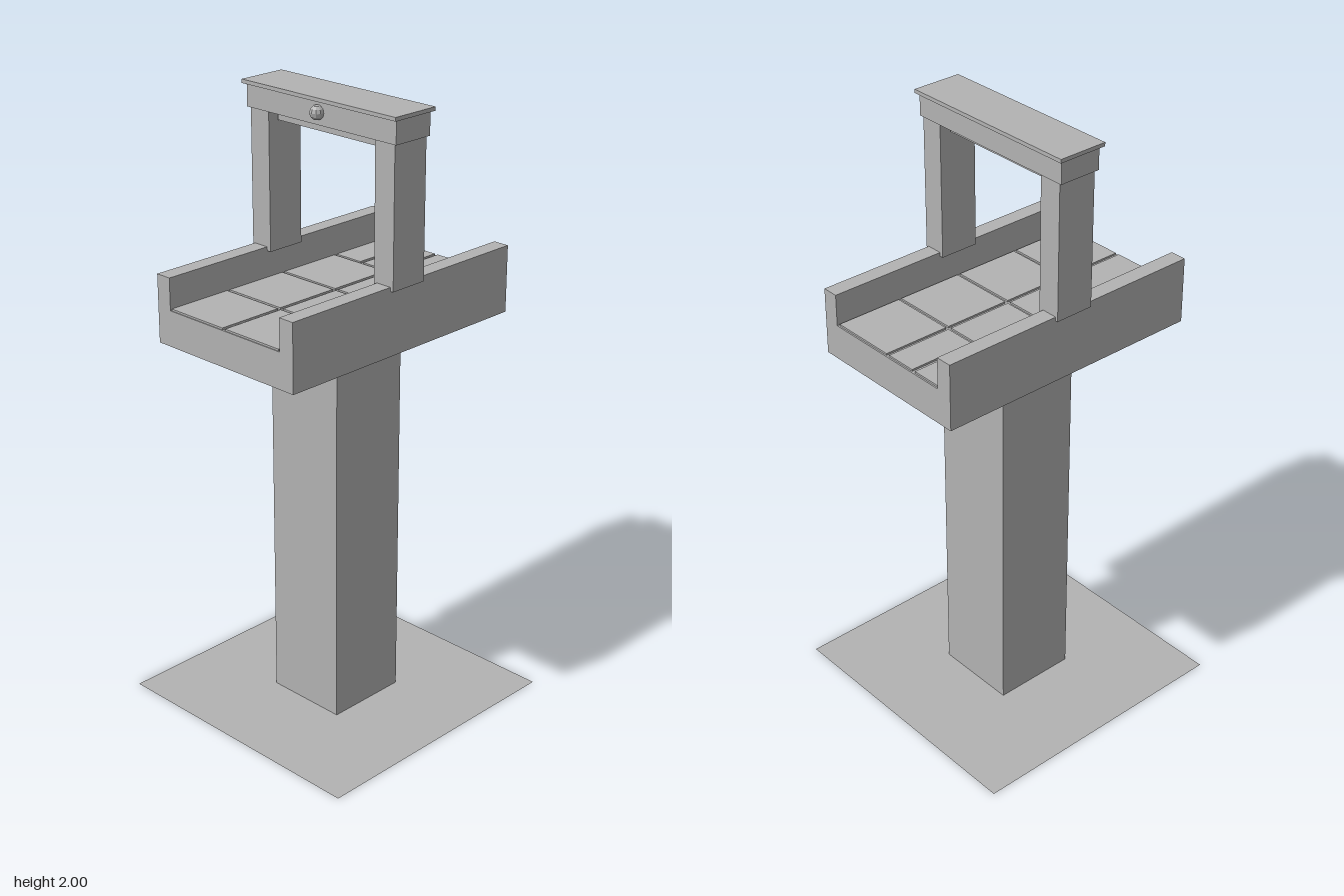
import * as THREE from 'three';

export function createModel() {
  const model = new THREE.Group();
  const stone = new THREE.MeshStandardMaterial({ color: 0xb2b2b2, flatShading: true });
  stone.name = 'greyStone';
  const sheet = new THREE.MeshStandardMaterial({ color: 0xb2b2b2, side: THREE.DoubleSide });
  sheet.name = 'greySheet';

  const add = (name, geometry, material = stone) => {
    const mesh = new THREE.Mesh(geometry, material);
    mesh.name = name;
    model.add(mesh);
    return mesh;
  };
  // box given by its minimum and maximum on each axis
  const box = (name, x0, x1, y0, y1, z0, z1) =>
    add(name, new THREE.BoxGeometry(x1 - x0, y1 - y0, z1 - z0))
      .position.set((x0 + x1) / 2, (y0 + y1) / 2, (z0 + z1) / 2);

  // ground sheet and tall pier
  add('ground', new THREE.PlaneGeometry(0.926, 0.926).rotateX(-Math.PI / 2), sheet);
  box('pier', -0.14, 0.14, 0.002, 1.27, -0.14, 0.14);

  // deck: a U-shaped trough extruded along x
  const bottom = 1.27, floor = 1.385, top = 1.488, outer = 0.286, inner = 0.232, half = 0.463;
  const trough = new THREE.Shape([
    [-outer, bottom], [outer, bottom], [outer, top], [inner, top],
    [inner, floor], [-inner, floor], [-inner, top], [-outer, top],
  ].map(([z, y]) => new THREE.Vector2(z, y)));
  const deck = new THREE.ExtrudeGeometry(trough, { depth: 2 * half, bevelEnabled: false });
  add('deck', deck.rotateY(Math.PI / 2).translate(-half, 0, 0));

  // paving slabs, with one split in two
  const slab = (x, z0, z1) => box('pavingSlab', x, x + 0.222, floor, floor + 0.006, z0, z1);
  [-0.46, -0.228, 0.004, 0.236].forEach((x, i) => {
    slab(x, 0.004, 0.226);
    if (i < 3) slab(x, -0.229, -0.008);
    else {
      slab(x, -0.229, -0.125);
      slab(x, -0.112, -0.008);
    }
  });

  // gateway posts astride the parapets
  box('frontPost', -0.066, 0.066, 1.475, 1.916, 0.22, 0.296);
  box('backPost', -0.066, 0.066, 1.475, 1.916, -0.294, -0.217);

  // lintel, the narrow beam beneath it and the cap slab
  box('lowerBeam', -0.035, 0.035, 1.886, 1.916, -0.21, 0.21);
  box('lintel', -0.071, 0.071, 1.916, 1.988, -0.305, 0.305);
  box('capSlab', -0.083, 0.083, 1.988, 2, -0.315, 0.313);

  // small boss on the lintel's side
  add('boss', new THREE.SphereGeometry(0.023, 10, 6)).position.set(-0.077, 1.955, -0.002);

  return model;
}
